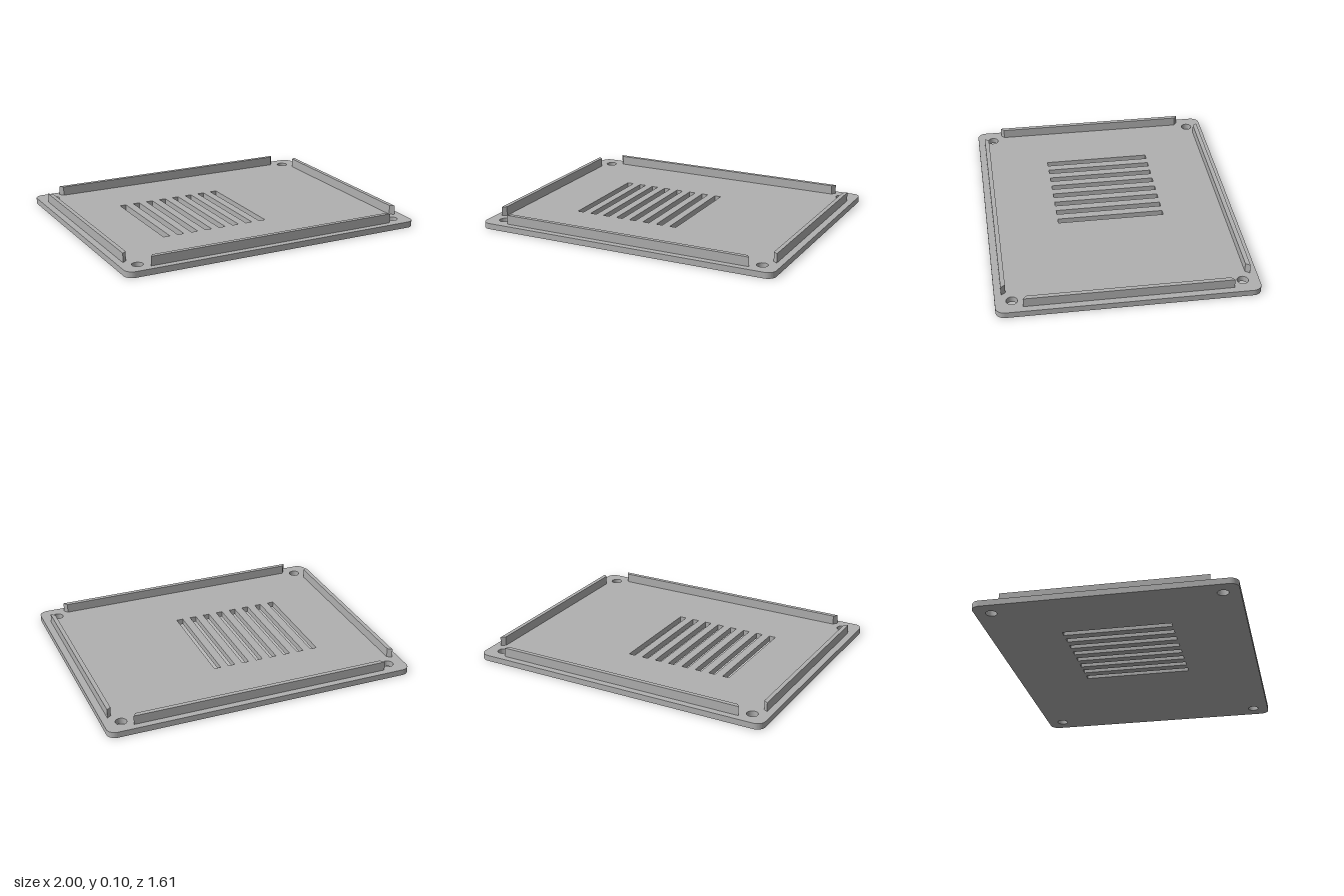
import * as THREE from 'three';
import { toCreasedNormals } from 'three/addons/utils/BufferGeometryUtils.js';

const W = 1, D = 0.805, R = 0.055;   // plate half sizes and corner radius
const PLATE_TOP = 0.038, RAIL_TOP = 0.097;

// Extrudes a plan shape upwards from y0 to y1
function slab(shape, y0, y1) {
  const geo = new THREE.ExtrudeGeometry(shape, { depth: y1 - y0, bevelEnabled: false, curveSegments: 12 });
  geo.rotateX(-Math.PI / 2).translate(0, y0, 0);
  return toCreasedNormals(geo, 0.6);
}

function plateShape() {
  const s = new THREE.Shape();
  s.absarc(W - R, D - R, R, 0, Math.PI / 2);
  s.absarc(-W + R, D - R, R, Math.PI / 2, Math.PI);
  s.absarc(-W + R, -D + R, R, Math.PI, Math.PI * 1.5);
  s.absarc(W - R, -D + R, R, Math.PI * 1.5, Math.PI * 2);
  s.closePath();

  // Screw holes
  for (const sx of [-1, 1]) for (const sz of [-1, 1]) {
    s.holes.push(new THREE.Path().absarc(sx * 0.893, sz * 0.703, 0.035, 0, Math.PI * 2, true));
  }
  // Vent slots
  for (let i = 0; i < 8; i++) {
    const x = -0.561 + i * 0.0963, w = 0.043, h = 0.345;
    s.holes.push(new THREE.Path([
      new THREE.Vector2(x, -h), new THREE.Vector2(x, h),
      new THREE.Vector2(x + w, h), new THREE.Vector2(x + w, -h),
    ]));
  }
  return s;
}

// Rail with mitred ends, longer on its outer face
function railGeometry(half, inner, outer) {
  const m = 0.02;
  const s = new THREE.Shape([
    new THREE.Vector2(-half, -outer), new THREE.Vector2(half, -outer),
    new THREE.Vector2(half - m, -inner), new THREE.Vector2(-half + m, -inner),
  ]);
  return slab(s, PLATE_TOP, RAIL_TOP);
}

export function createModel() {
  const grey = new THREE.MeshStandardMaterial({ color: 0xb0b0b0 });
  grey.name = 'grey';
  const model = new THREE.Group();
  model.name = 'ventedCover';

  const add = (name, geo, turn = 0) => {
    const mesh = new THREE.Mesh(geo, grey);
    mesh.name = name;
    mesh.rotation.y = turn;
    model.add(mesh);
  };

  add('plate', slab(plateShape(), 0, PLATE_TOP));

  // Locating rails along the four edges
  const longRail = railGeometry(0.833, 0.735, 0.763);
  const shortRail = railGeometry(0.64, 0.93, 0.957);
  add('frontRail', longRail);
  add('backRail', longRail, Math.PI);
  add('leftRail', shortRail, Math.PI / 2);
  add('rightRail', shortRail, -Math.PI / 2);
  return model;
}
